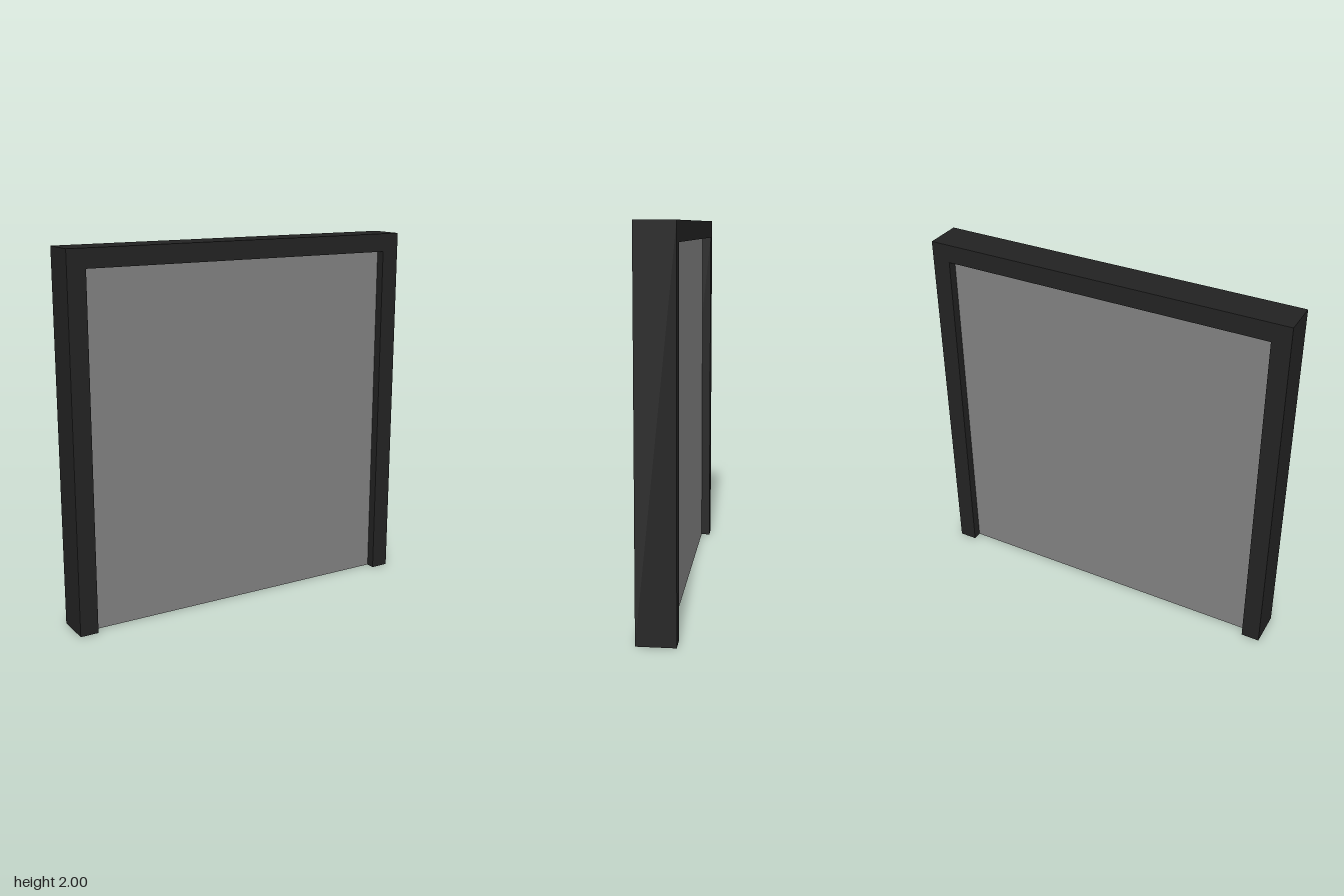
import * as THREE from 'three';

export function createModel() {
  const model = new THREE.Group();
  model.name = 'framedPanel';

  // Frame: two posts and a lintel cut from one outline, open at the floor
  const outer = 1, inner = 0.9, height = 2, depth = 0.2;
  const outline = new THREE.Shape([
    [-outer, 0], [-inner, 0], [-inner, height - 0.1], [inner, height - 0.1],
    [inner, 0], [outer, 0], [outer, height], [-outer, height],
  ].map(([x, y]) => new THREE.Vector2(x, y)));
  const frameGeometry = new THREE.ExtrudeGeometry(outline, { depth, bevelEnabled: false });
  frameGeometry.translate(0, 0, -depth / 2);
  const frame = new THREE.Mesh(frameGeometry, new THREE.MeshStandardMaterial({ color: 0x222222 }));
  frame.name = 'frame';

  // Panel: fills the opening, set back equally from both faces
  const panel = new THREE.Mesh(
    new THREE.BoxGeometry(2 * inner, height - 0.1, 0.1),
    new THREE.MeshStandardMaterial({ color: 0x808080 })
  );
  panel.name = 'panel';
  panel.position.y = (height - 0.1) / 2;

  model.add(frame, panel);
  return model;
}
